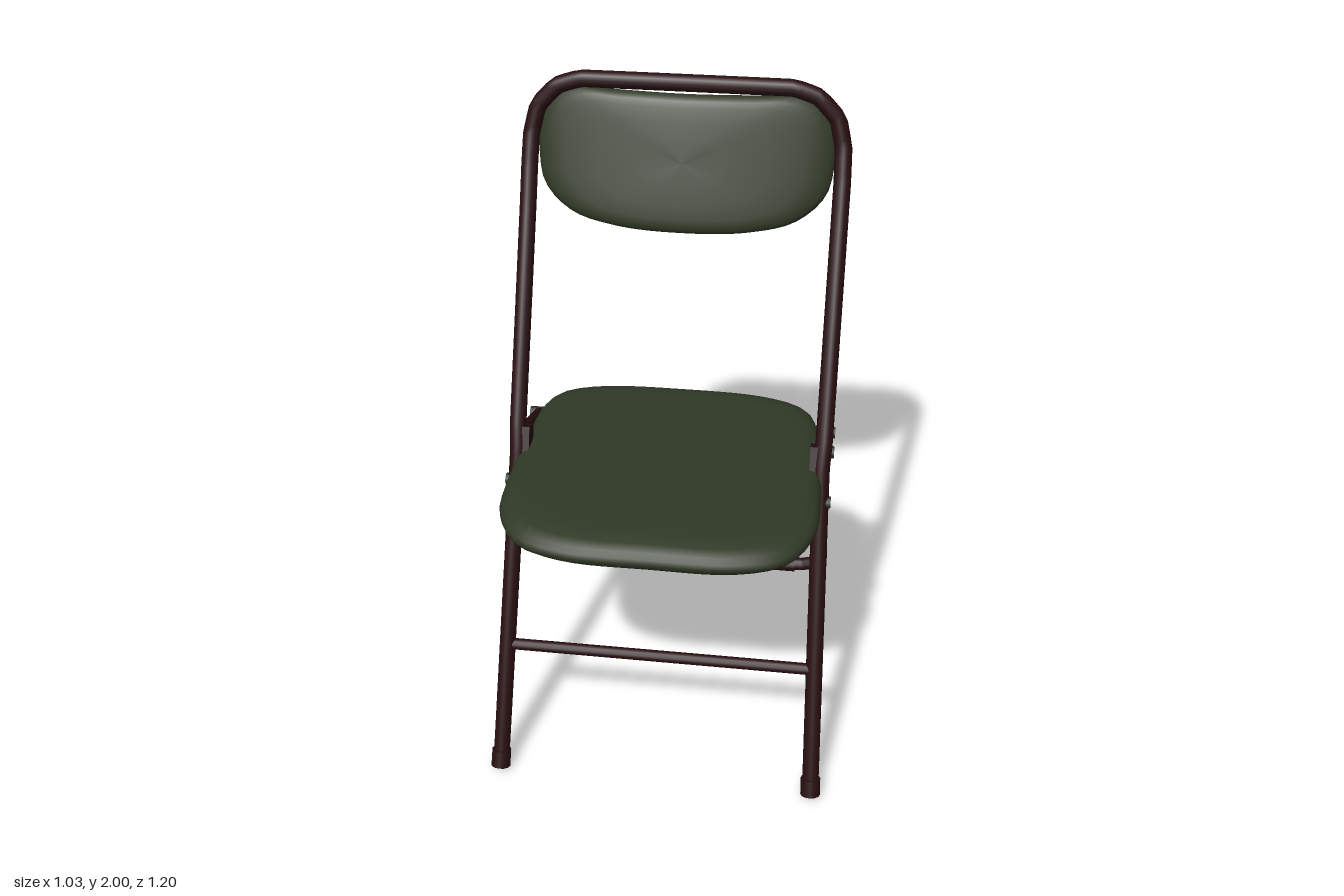
import * as THREE from 'three';

const V = (x, y, z) => new THREE.Vector3(x, y, z);

export function createModel() {
  const model = new THREE.Group();
  model.name = 'foldingChair';
  const frameMat = new THREE.MeshStandardMaterial({ name: 'dark maroon metal', color: 0x280e10 });
  const padMat = new THREE.MeshStandardMaterial({ name: 'olive green padding', color: 0x303926 });
  const pinMat = new THREE.MeshStandardMaterial({ name: 'grey green pins', color: 0x272f22 });

  function add(name, geometry, material) {
    const mesh = new THREE.Mesh(geometry, material);
    mesh.name = name;
    model.add(mesh);
    return mesh;
  }

  // Straight round bar between two points
  function bar(name, a, b, radius, material = frameMat) {
    const mesh = add(name, new THREE.CylinderGeometry(radius, radius, a.distanceTo(b), 12), material);
    mesh.position.copy(a).add(b).multiplyScalar(0.5);
    mesh.quaternion.setFromUnitVectors(V(0, 1, 0), b.clone().sub(a).normalize());
    return mesh;
  }

  // Bent tube: one half listed from its end to the middle, then mirrored in x
  function bentTube(name, half, radius) {
    const points = [...half, ...half.map(p => V(-p.x, p.y, p.z)).reverse()];
    const curve = new THREE.CatmullRomCurve3(points, false, 'catmullrom', 0.06);
    curve.arcLengthDivisions = 1000;
    add(name, new THREE.TubeGeometry(curve, 200, radius, 12), frameMat);
  }

  // Cushion: half outline (u, v) mirrored in u, inset in rings from the top centre to the bottom centre
  function cushion(name, half, centreV, thickness, place) {
    const mirrored = half.slice(1, -1).reverse().map(([u, v]) => [-u, v]);
    const loop = new THREE.CatmullRomCurve3([...half, ...mirrored].map(([u, v]) => V(u, v, 0)), true);
    const outline = loop.getSpacedPoints(72).slice(0, 72);
    const top = [[0, 0.5], [0.3, 0.5], [0.6, 0.49], [0.8, 0.46], [0.9, 0.41], [0.96, 0.3], [0.99, 0.15], [1, 0]];
    const rings = [...top, ...top.slice(0, -1).reverse().map(([s, h]) => [s, -h])];
    const positions = [], index = [], n = outline.length;
    rings.forEach(([s, h], r) => outline.forEach((p, j) => {
      positions.push(...place(p.x * s, centreV + (p.y - centreV) * s, h * thickness));
      if (r === rings.length - 1) return;
      const a = r * n + j, b = r * n + (j + 1) % n;
      index.push(a, a + n, b + n, a, b + n, b);
    }));
    const geometry = new THREE.BufferGeometry();
    geometry.setAttribute('position', new THREE.Float32BufferAttribute(positions, 3));
    geometry.setIndex(index);
    geometry.computeVertexNormals();
    add(name, geometry, padMat);
  }

  // Front legs, uprights and top rail in one tube
  bentTube('mainFrame', [
    V(0.485, 0.03, 0.49), V(0.452, 0.97, 0.14), V(0.455, 1.05, 0.105), V(0.455, 1.62, -0.185),
    V(0.455, 1.72, -0.232), V(0.452, 1.81, -0.268), V(0.432, 1.89, -0.285),
    V(0.375, 1.95, -0.29), V(0.3, 1.974, -0.29)], 0.025);

  // Rear leg loop with its floor bar
  bentTube('rearLegLoop', [
    V(0.445, 0.99, 0.1), V(0.448, 0.77, -0.05), V(0.465, 0.18, -0.485), V(0.466, 0.115, -0.535),
    V(0.45, 0.075, -0.565), V(0.4, 0.055, -0.573), V(0.34, 0.052, -0.574)], 0.023);

  bar('frontCrossbar', V(-0.468, 0.392, 0.355), V(0.468, 0.392, 0.355), 0.018);

  // Seat: slightly lower towards the front
  cushion('seat', [
    [0, -0.6], [0.25, -0.592], [0.38, -0.54], [0.447, -0.42], [0.458, -0.28], [0.445, -0.05],
    [0.43, 0.11], [0.39, 0.195], [0.27, 0.245], [0, 0.26]],
  -0.17, 0.094, (u, v, h) => [u, 0.951 + 0.018 * v + h, -v]);

  // Backrest: leaning back, with its ends curving rearwards
  cushion('backrest', [
    [0, 1.576], [0.2, 1.583], [0.33, 1.61], [0.41, 1.675], [0.43, 1.76], [0.43, 1.84],
    [0.405, 1.905], [0.34, 1.945], [0.2, 1.95], [0, 1.95]],
  1.765, 0.06, (u, v, h) => [u, v + 0.3 * h, -0.15 - 0.33 * (v - 1.59) - 0.32 * u * u + h]);

  for (const s of [1, -1]) {
    const side = s > 0 ? 'left' : 'right';
    const pin = (name, y, z, r) => bar(side + name, V(s * 0.425, y, z), V(s * 0.486, y, z), r, pinMat);

    // Foot caps and floor bar bumpers
    bar(side + 'FootCap', V(s * 0.486, 0.011, 0.5), V(s * 0.484, 0.062, 0.48), 0.03);
    bar(side + 'FloorBumper', V(s * 0.25, 0.052, -0.574), V(s * 0.375, 0.052, -0.574), 0.028);

    // Hinge bracket and folding link
    const bracket = add(side + 'HingeBracket', new THREE.BoxGeometry(0.035, 0.13, 0.06), frameMat);
    bracket.position.set(s * 0.434, 0.975, 0.125);
    bracket.rotation.x = -0.4;
    bar(side + 'FoldingLink', V(s * 0.458, 0.995, 0.075), V(s * 0.458, 0.9, -0.18), 0.015);

    // Pivot pins
    pin('UpperPin', 0.995, 0.07, 0.018);
    pin('LinkPin', 0.895, -0.188, 0.018);
    pin('LowerPin', 0.885, 0.172, 0.018);
  }
  return model;
}
